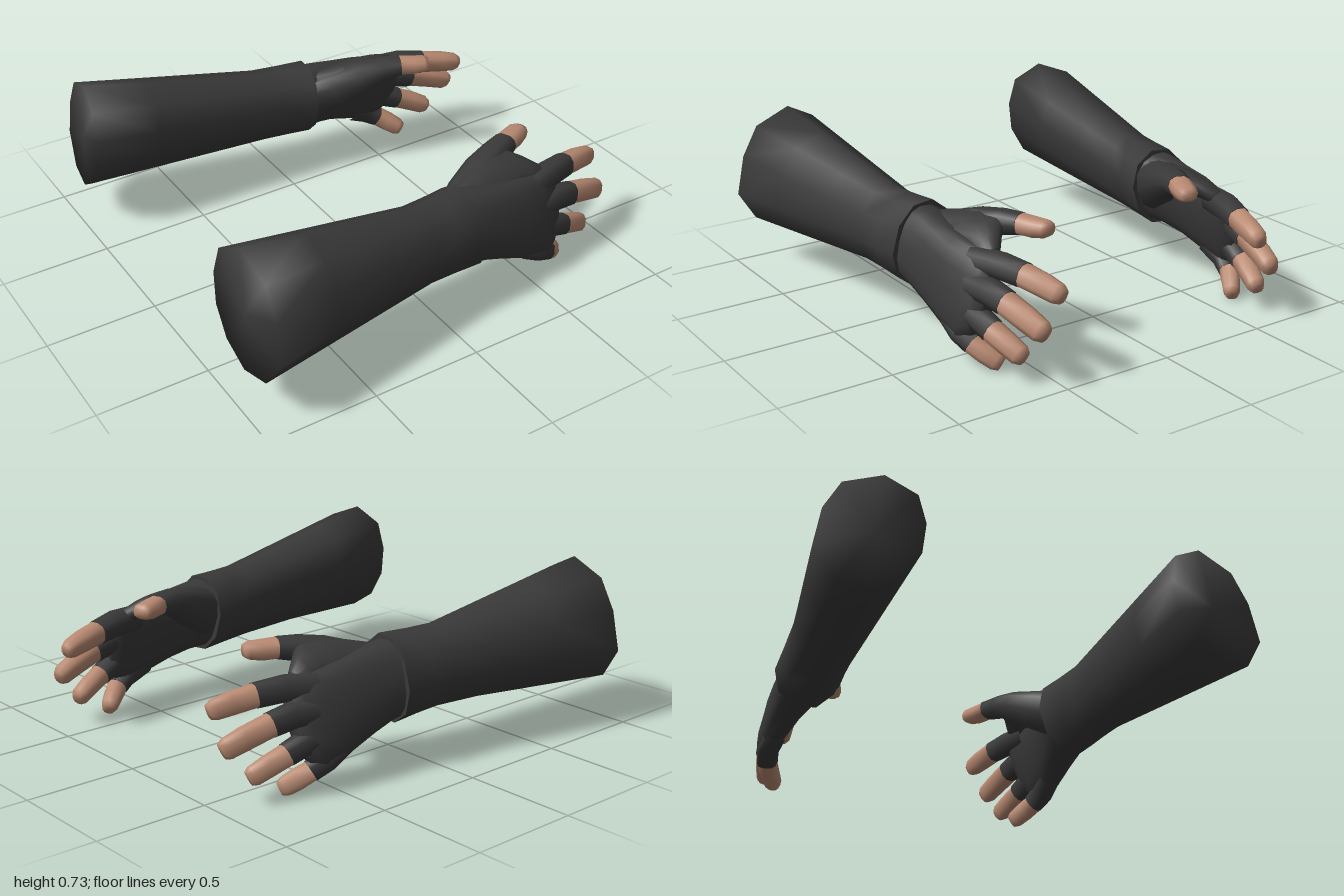
import * as THREE from 'three';

const glove = new THREE.MeshStandardMaterial({ color: 0x393939 });
glove.name = 'charcoal fabric';
const skin = new THREE.MeshStandardMaterial({ color: 0xb98a72 });
skin.name = 'skin';

const V = (x, y, z) => new THREE.Vector3(x, y, z);

// Skin a list of rings; side = -1 mirrors across z and flips the winding.
// Caps are 'sharp' (own vertices), 'smooth' (shared vertices) or null.
function loft(rings, side, capStart, capEnd) {
  const n = rings[0].length, last = rings.length - 1, pos = [], idx = [];
  const add = (p) => pos.push(p.x, p.y, p.z * side) / 3 - 1;
  const tri = (a, b, c) => (side > 0 ? idx.push(a, b, c) : idx.push(a, c, b));
  rings.forEach((ring) => ring.forEach(add));
  for (let i = 0; i < last; i++) {
    for (let j = 0; j < n; j++) {
      const k = (j + 1) % n, a = i * n, b = a + n;
      tri(a + j, a + k, b + j);
      tri(a + k, b + k, b + j);
    }
  }
  const cap = (i, mode, flip) => {
    const mid = V(0, 0, 0);
    rings[i].forEach((p) => mid.addScaledVector(p, 1 / n));
    const c = add(mid), first = mode === 'sharp' ? rings[i].map(add)[0] : i * n;
    for (let j = 0; j < n; j++) {
      const p = first + j, q = first + (j + 1) % n;
      flip ? tri(c, q, p) : tri(c, p, q);
    }
  };
  if (capStart) cap(0, capStart, true);
  if (capEnd) cap(last, capEnd, false);
  const g = new THREE.BufferGeometry();
  g.setAttribute('position', new THREE.Float32BufferAttribute(pos, 3));
  g.setIndex(idx);
  g.computeVertexNormals();
  return g;
}

// Rounded-box section coordinate
const soft = (v, e) => Math.sign(v) * Math.abs(v) ** e;

// Limb along stations [x, y, z, half width, half thickness]
function limb(stations, across, n = 10) {
  const at = (i) => V(...stations[Math.max(0, Math.min(stations.length - 1, i))].slice(0, 3));
  return stations.map((s, i) => {
    const t = at(i + 1).sub(at(i - 1)).normalize();
    const u = across.clone().addScaledVector(t, -across.dot(t)).normalize();
    const v = t.clone().cross(u);
    return Array.from({ length: n }, (_, j) => {
      const w = (j / n) * Math.PI * 2;
      return V(s[0], s[1], s[2])
        .addScaledVector(u, s[3] * soft(Math.cos(w), 0.8))
        .addScaledVector(v, s[4] * soft(Math.sin(w), 0.8));
    });
  });
}

// Tilted oval in the yz plane, leaning toward the thumb at the top
function oval(x, cy, cz, a, b, tilt, n, e = 1, slant = 0) {
  const c = Math.cos(tilt), s = Math.sin(tilt);
  return Array.from({ length: n }, (_, j) => {
    const w = (j / n) * Math.PI * 2;
    const p = a * soft(Math.cos(w), e), q = b * soft(Math.sin(w), e);
    const z = q * c - p * s;
    return V(x + slant * z, cy + p * c + q * s, cz + z);
  });
}

// Wide sleeve end as [z, y], starting at the top
const hem = [[0.72, 0.74], [0.89, 0.675], [0.965, 0.54], [1.0, 0.36], [0.91, 0.22],
  [0.77, 0.197], [0.65, 0.275], [0.575, 0.4], [0.555, 0.54], [0.585, 0.67]];

function sleeveRings() {
  const n = hem.length;
  const start = hem.map(([z, y]) => V(-0.983 + 0.125 * (z - 0.56) + 0.07 * (y - 0.4), y, z));
  const narrow = oval(-0.09, 0.398, 0.675, 0.18, 0.145, 0.15, n, 0.95, 0.05);
  const mix = (f) => start.map((p, j) => p.clone().lerp(narrow[j], f));
  return [start, mix(0.35), mix(0.72), narrow,
    oval(0.03, 0.392, 0.662, 0.182, 0.146, 0.22, n, 0.95, 0.08),
    oval(0.16, 0.386, 0.648, 0.19, 0.148, 0.3, n, 0.95, 0.1)];
}

const palm = [
  [0.13, 0.388, 0.648, 0.166, 0.128, 0.3],
  [0.22, 0.38, 0.657, 0.17, 0.11, 0.28],
  [0.32, 0.358, 0.668, 0.176, 0.09, 0.25],
  [0.45, 0.325, 0.677, 0.19, 0.074, 0.22],
  [0.57, 0.3, 0.67, 0.197, 0.063, 0.26],
  [0.63, 0.315, 0.652, 0.172, 0.054, 0.3],
  [0.67, 0.335, 0.64, 0.12, 0.035, 0.32],
];

// Web of fabric between the thumb and the index knuckle
const web = [
  [0.16, 0.43, 0.61, 0.1, 0.09, 0.8],
  [0.3, 0.468, 0.575, 0.115, 0.078, 1.0],
  [0.4, 0.502, 0.555, 0.115, 0.06, 1.15],
  [0.5, 0.51, 0.55, 0.098, 0.046, 1.15],
  [0.56, 0.49, 0.575, 0.07, 0.04, 1.0],
  [0.62, 0.465, 0.595, 0.04, 0.03, 0.8],
];

// Each digit: covered stations, then bare stations that continue from the last one
const up = V(0, 1, -0.25);
const digits = {
  index: { across: up,
    covered: [[0.54, 0.435, 0.63, 0.056, 0.056], [0.67, 0.442, 0.597, 0.056, 0.058], [0.79, 0.43, 0.56, 0.053, 0.052]],
    bare: [[0.89, 0.414, 0.535, 0.049, 0.046], [0.955, 0.4, 0.519, 0.044, 0.04], [0.98, 0.393, 0.513, 0.032, 0.028]] },
  middle: { across: up,
    covered: [[0.54, 0.345, 0.668, 0.055, 0.054], [0.67, 0.345, 0.65, 0.057, 0.055], [0.77, 0.323, 0.632, 0.054, 0.051]],
    bare: [[0.88, 0.29, 0.612, 0.051, 0.046], [0.955, 0.262, 0.596, 0.047, 0.041], [0.978, 0.252, 0.59, 0.035, 0.028]] },
  ring: { across: up,
    covered: [[0.5, 0.255, 0.688, 0.052, 0.052], [0.62, 0.232, 0.68, 0.053, 0.052], [0.715, 0.193, 0.663, 0.05, 0.049]],
    bare: [[0.79, 0.16, 0.643, 0.047, 0.045], [0.85, 0.13, 0.625, 0.044, 0.04], [0.871, 0.12, 0.618, 0.032, 0.028]] },
  little: { across: up,
    covered: [[0.45, 0.185, 0.7, 0.048, 0.05], [0.55, 0.139, 0.705, 0.05, 0.049], [0.61, 0.104, 0.687, 0.047, 0.047]],
    bare: [[0.655, 0.073, 0.659, 0.046, 0.043], [0.695, 0.044, 0.63, 0.042, 0.038], [0.712, 0.033, 0.617, 0.031, 0.027]] },
  thumb: { across: V(0, 0, 1),
    covered: [[0.17, 0.4, 0.605, 0.09, 0.11], [0.27, 0.45, 0.545, 0.09, 0.095], [0.38, 0.502, 0.49, 0.08, 0.075],
      [0.48, 0.536, 0.45, 0.063, 0.054], [0.56, 0.545, 0.418, 0.054, 0.045]],
    bare: [[0.62, 0.542, 0.392, 0.051, 0.042], [0.667, 0.545, 0.371, 0.047, 0.036], [0.687, 0.546, 0.362, 0.036, 0.026]] },
};

function makeArm(side) {
  const arm = new THREE.Group();
  arm.name = side > 0 ? 'frontArm' : 'backArm';
  const part = (name, geometry, material) => {
    const m = new THREE.Mesh(geometry, material);
    m.name = name;
    arm.add(m);
  };
  part('sleeve', loft(sleeveRings(), side, 'smooth', 'sharp'), glove);
  part('palm', loft(palm.map((s) => oval(...s, 16, 0.85)), side, null, 'smooth'), glove);
  part('thumbWeb', loft(web.map((s) => oval(...s, 14)), side, null, 'smooth'), glove);
  for (const [name, d] of Object.entries(digits)) {
    const rings = limb([...d.covered, ...d.bare], d.across);
    const split = d.covered.length;
    part(name + 'Glove', loft(rings.slice(0, split), side, null, 'sharp'), glove);
    // bare part starts slightly inside the glove opening
    const root = rings[split - 1].map((p) => p.clone().lerp(V(...d.covered[split - 1]), 0.05));
    part(name + 'Fingertip', loft([root, ...rings.slice(split)], side, null, 'smooth'), skin);
  }
  return arm;
}

export function createModel() {
  const model = new THREE.Group();
  model.name = 'fingerlessGloves';
  model.add(makeArm(1), makeArm(-1));
  return model;
}
